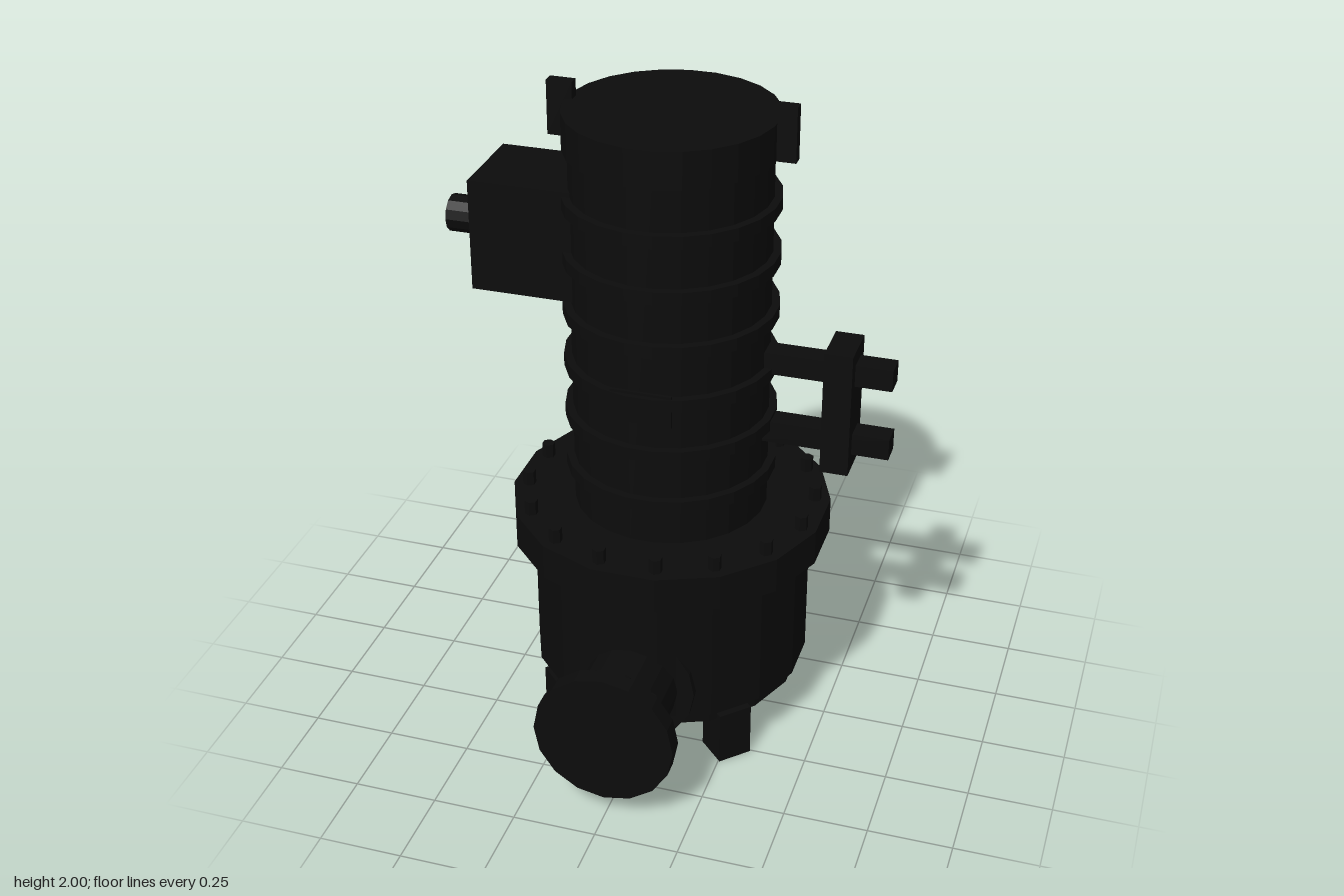
import * as THREE from 'three';

export function createModel() {
  const group = new THREE.Group();
  const black = new THREE.MeshStandardMaterial({ color: 0x0c0c0c, flatShading: true });
  black.name = 'blackPaint';

  const add = (name, geometry, x = 0, y = 0, z = 0, parent = group) => {
    const mesh = new THREE.Mesh(geometry, black);
    mesh.name = name;
    mesh.position.set(x, y, z);
    parent.add(mesh);
    return mesh;
  };
  const box = (name, w, h, d, x, y, z) => add(name, new THREE.BoxGeometry(w, h, d), x, y, z);
  // upright drum between two heights, turned half a side so flats face the axes
  const drum = (name, r, y0, y1, sides) =>
    add(name, new THREE.CylinderGeometry(r, r, y1 - y0, sides).rotateY(Math.PI / sides), 0, (y0 + y1) / 2, 0);

  // pump casing
  drum('casingBottom', 0.33, 0.11, 0.16, 16);
  drum('casingStep', 0.4, 0.15, 0.2, 16);
  drum('casing', 0.42, 0.19, 0.62, 16);
  drum('casingFlange', 0.48, 0.615, 0.725, 16);
  for (let i = 0; i < 16; i++) {
    const a = ((i + 0.5) / 16) * Math.PI * 2;
    add('casingBolt', new THREE.CylinderGeometry(0.02, 0.02, 0.06, 6),
      Math.cos(a) * 0.433, 0.74, Math.sin(a) * 0.433);
  }

  // feet on the diagonals
  for (let i = 0; i < 4; i++) {
    const a = Math.PI / 4 + (i * Math.PI) / 2;
    box('foot', 0.106, 0.17, 0.106, Math.sin(a) * 0.36, 0.085, Math.cos(a) * 0.36).rotation.y = a;
  }

  // motor column with ribs and cap
  drum('motorColumn', 0.289, 0.72, 1.9, 24);
  for (let i = 0; i < 6; i++) {
    const y = 0.86 + i * 0.1665;
    drum('columnRib', 0.312, y - 0.019, y + 0.019, 24);
  }
  drum('motorCap', 0.304, 1.84, 1.95, 24);
  for (const s of [-1, 1]) box('liftingLug', 0.075, 0.16, 0.034, s * 0.3195, 1.92, 0);
  box('namePlate', 0.18, 0.1, 0.009, 0, 1.17, 0.29);

  // junction box and cable gland
  box('junctionBox', 0.305, 0.335, 0.28, -0.4025, 1.5575, 0);
  add('cableGland', new THREE.CylinderGeometry(0.055, 0.055, 0.12, 12).rotateZ(Math.PI / 2), -0.605, 1.555, 0);

  // side bracket
  for (const y of [1.003, 1.227]) box('bracketArm', 0.41, 0.066, 0.07, 0.455, y, 0);
  box('bracketPlate', 0.083, 0.385, 0.145, 0.51, 1.112, 0);

  // pipe nozzles, built along +z
  const nozzle = (name, y, turn) => {
    const pipe = new THREE.Group();
    pipe.name = name;
    pipe.position.y = y;
    pipe.rotation.y = turn;
    group.add(pipe);
    const disc = (part, r, z0, z1) =>
      add(part, new THREE.CylinderGeometry(r, r, z1 - z0, 16).rotateX(Math.PI / 2), 0, 0, (z0 + z1) / 2, pipe);
    disc('nozzlePad', 0.19, 0.33, 0.39);
    disc('nozzlePipe', 0.139, 0.3, 0.63);
    disc('nozzleCollar', 0.147, 0.53, 0.575);
    disc('nozzleFlange', 0.21, 0.612, 0.666);
    for (let i = 0; i < 12; i++) {
      const a = ((i + 0.5) / 12) * Math.PI * 2;
      add('nozzleBolt', new THREE.CylinderGeometry(0.015, 0.015, 0.04, 6).rotateX(Math.PI / 2),
        Math.cos(a) * 0.175, Math.sin(a) * 0.175, 0.602, pipe);
    }
  };
  nozzle('frontNozzle', 0.28, 0);
  nozzle('backNozzle', 0.503, Math.PI);

  return group;
}
